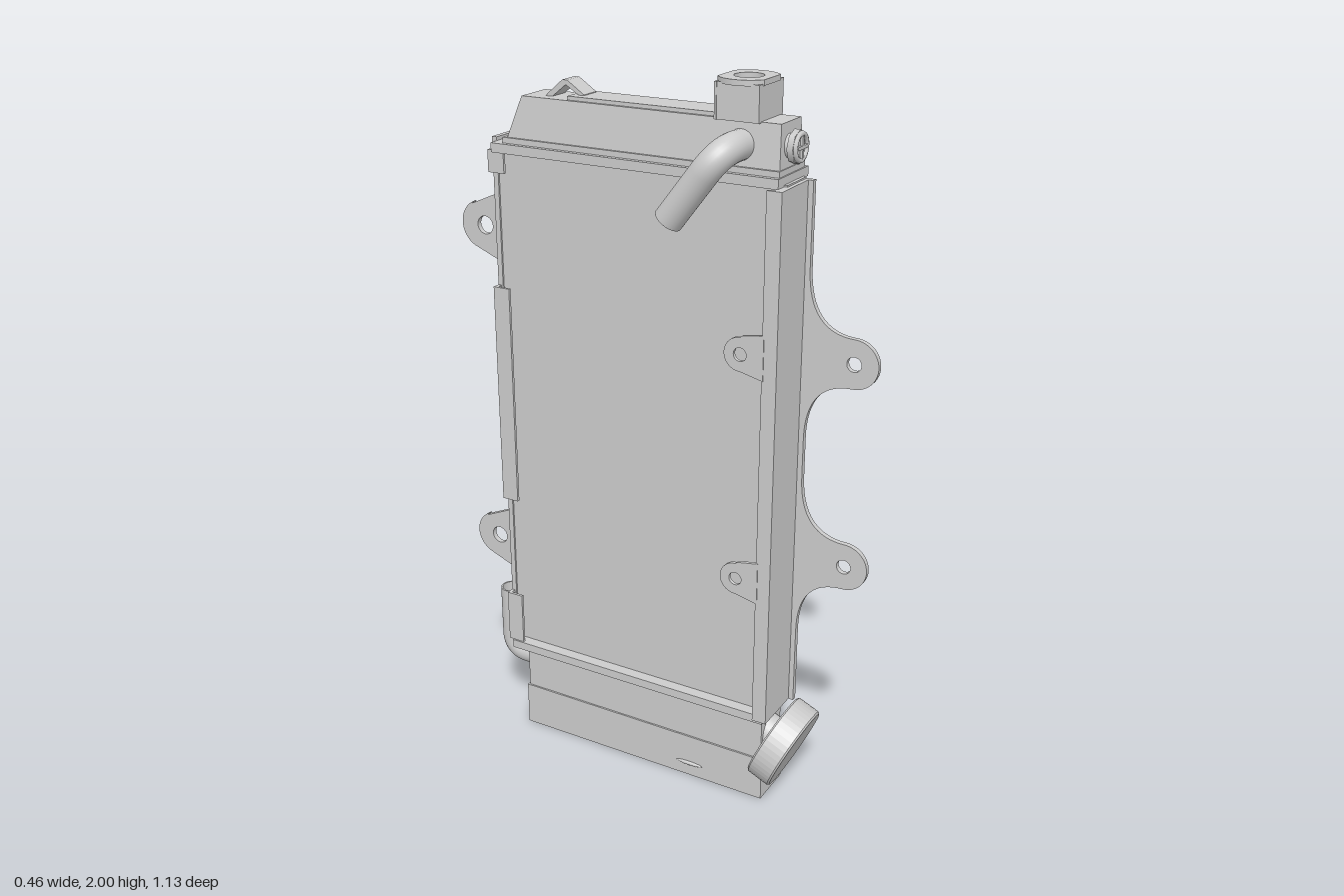
import * as THREE from 'three';

export function createModel() {
  const root = new THREE.Group();
  root.name = 'radiator';
  const mat = new THREE.MeshStandardMaterial({ color: 0xcccccc });
  const thin = new THREE.MeshStandardMaterial({ color: 0xcccccc, side: THREE.DoubleSide });

  function add(name, geo, m = mat) {
    const mesh = new THREE.Mesh(geo, m);
    mesh.name = name;
    root.add(mesh);
    return mesh;
  }
  // Box given by its limits on each axis
  function box(name, x0, x1, y0, y1, z0, z1) {
    const g = new THREE.BoxGeometry(x1 - x0, y1 - y0, z1 - z0);
    g.translate((x0 + x1) / 2, (y0 + y1) / 2, (z0 + z1) / 2);
    return add(name, g);
  }
  // Sheet drawn in (z, y), filling x0..x1
  function sheet(name, shape, x0, x1) {
    const g = new THREE.ExtrudeGeometry(shape, { depth: x1 - x0, bevelEnabled: false, curveSegments: 16 });
    g.rotateY(-Math.PI / 2).translate(x1, 0, 0);
    return add(name, g);
  }
  function hole(shape, x, y, r) {
    shape.holes.push(new THREE.Path().absarc(x, y, r, 0, Math.PI * 2, true));
  }
  // Open pipe of two straight runs with a rounded elbow
  function pipe(name, a, corner, b, r, bend) {
    const [A, C, B] = [a, corner, b].map(p => new THREE.Vector3(...p));
    const p = C.clone().add(A.clone().sub(C).setLength(bend));
    const q = C.clone().add(B.clone().sub(C).setLength(bend));
    const path = new THREE.CurvePath();
    path.add(new THREE.LineCurve3(A, p));
    path.add(new THREE.QuadraticBezierCurve3(p, C, q));
    path.add(new THREE.LineCurve3(q, B));
    add(name, new THREE.TubeGeometry(path, 40, r, 24), thin);
    add(name + 'Bore', new THREE.TubeGeometry(path, 40, r * 0.85, 24), thin);
    const rim = add(name + 'Rim', new THREE.RingGeometry(r * 0.85, r, 24), thin);
    rim.position.copy(B);
    rim.quaternion.setFromUnitVectors(new THREE.Vector3(0, 0, 1), B.clone().sub(q).normalize());
  }

  // Core and the flanges between core and tanks
  box('core', -0.065, 0.042, 0.27, 1.76, -0.47, 0.375);
  box('upperFlange', -0.098, 0.071, 1.755, 1.78, -0.465, 0.366);
  box('lowerFlange', -0.098, 0.062, 0.26, 0.285, -0.465, 0.366);

  // Lower tank with a seam, and drain bosses on both sides
  box('lowerTankTop', -0.075, 0.046, 0.13, 0.262, -0.425, 0.355);
  box('lowerTankBase', -0.08, 0.051, 0, 0.13, -0.43, 0.36);
  for (const x of [-0.08, 0.051]) {
    const boss = add('drainBoss', new THREE.SphereGeometry(1, 16, 10));
    boss.scale.set(0.006, 0.006, 0.042);
    boss.position.set(x, 0.04, 0.13);
  }

  // Upper tank, tapered towards the roof
  const tank = new THREE.BoxGeometry(1, 1, 1);
  const tp = tank.attributes.position;
  for (let i = 0; i < tp.count; i++) {
    const up = tp.getY(i) > 0;
    tp.setXYZ(i,
      tp.getX(i) > 0 ? (up ? 0.045 : 0.054) : (up ? -0.064 : -0.08),
      up ? 1.903 : 1.78,
      tp.getZ(i) > 0 ? (up ? 0.354 : 0.36) : (up ? -0.385 : -0.43));
  }
  tank.computeVertexNormals();
  add('upperTank', tank);
  box('upperTankRim', -0.085, 0.058, 1.778, 1.795, -0.436, 0.362);
  box('roofStrip', -0.056, 0.038, 1.9, 1.913, -0.25, 0.17);

  // Folded hose clip on the roof
  const clip = new THREE.Shape();
  [[-0.335, 1.9], [-0.325, 1.91], [-0.28, 1.948], [-0.265, 1.948], [-0.215, 1.915], [-0.215, 1.903], [-0.27, 1.936], [-0.315, 1.9]]
    .forEach(([z, y], i) => (i ? clip.lineTo(z, y) : clip.moveTo(z, y)));
  sheet('roofClip', clip, -0.032, 0.026);

  // Filler neck: end walls, one side wall, top plate with a round mouth
  box('fillerFrontWall', -0.076, 0.054, 1.9, 1.99, 0.294, 0.3);
  box('fillerBackWall', -0.076, 0.054, 1.9, 1.99, 0.18, 0.186);
  const side = add('fillerSideWall', new THREE.PlaneGeometry(0.12, 0.09));
  side.rotation.y = -Math.PI / 2;
  side.position.set(-0.074, 1.945, 0.24);
  const lip = new THREE.Shape();
  const cut = Math.asin(0.062 / 0.076);
  lip.absarc(0, 0, 0.076, -cut, cut, false);
  lip.absarc(0, 0, 0.076, Math.PI - cut, Math.PI + cut, false);
  hole(lip, 0, 0, 0.037);
  const plate = add('fillerLip', new THREE.ExtrudeGeometry(lip, { depth: 0.014, bevelEnabled: false, curveSegments: 24 }));
  plate.rotation.x = -Math.PI / 2;
  plate.position.set(-0.011, 1.986, 0.24);

  // Bolt with a crossed recess on the front of the upper tank
  const bolt = new THREE.Group();
  bolt.name = 'frontBolt';
  const parts = [
    new THREE.CylinderGeometry(0.03, 0.03, 0.04, 24).rotateX(Math.PI / 2),
    new THREE.CylinderGeometry(0.042, 0.042, 0.016, 8).rotateX(Math.PI / 2).translate(0, 0, 0.01),
    new THREE.TorusGeometry(0.032, 0.007, 8, 24).translate(0, 0, 0.02),
    new THREE.BoxGeometry(0.056, 0.008, 0.012).translate(0, 0, 0.021),
    new THREE.BoxGeometry(0.008, 0.056, 0.012).translate(0, 0, 0.021),
  ];
  parts.forEach(g => bolt.add(new THREE.Mesh(g, mat)));
  bolt.position.set(-0.022, 1.845, 0.366);
  root.add(bolt);

  // Front side channel with its lip
  box('frontChannel', -0.118, 0.042, 0.28, 1.756, 0.372, 0.386);
  box('frontChannelLip', -0.118, -0.11, 0.28, 1.756, 0.345, 0.38);
  box('frontChannelWeb', -0.11, -0.06, 0.28, 1.756, 0.362, 0.375);

  // Front mounting plate with two filleted ears
  const ears = [0.735, 1.305];
  const front = new THREE.Shape();
  front.moveTo(0.36, 0.28);
  front.lineTo(0.4, 0.28);
  for (const y of ears) {
    front.lineTo(0.4, y - 0.23);
    front.bezierCurveTo(0.4, y - 0.12, 0.445, y - 0.066, 0.53, y - 0.066);
    front.absarc(0.53, y, 0.066, -Math.PI / 2, Math.PI / 2, false);
    front.bezierCurveTo(0.445, y + 0.066, 0.4, y + 0.12, 0.4, y + 0.23);
  }
  front.lineTo(0.4, 1.756);
  front.lineTo(0.36, 1.756);
  ears.forEach(y => hole(front, 0.53, y, 0.02));
  sheet('frontMount', front, 0.029, 0.044);

  // Small rounded tabs on the channel lip
  for (const y of [0.705, 1.335]) {
    const tab = new THREE.Shape();
    tab.moveTo(0.35, y - 0.06);
    tab.lineTo(0.35, y + 0.06);
    tab.lineTo(0.29, y + 0.05);
    tab.absarc(0.285, y, 0.045, Math.PI / 2, Math.PI * 1.5, false);
    hole(tab, 0.285, y, 0.018);
    sheet('lipTab', tab, -0.12, -0.11);
  }

  // Back side channel, its interrupted lip, and mounting ears
  box('backChannel', -0.07, 0.046, 0.28, 1.79, -0.48, -0.465);
  box('backChannelEdge', 0.04, 0.05, 0.28, 1.76, -0.48, -0.462);
  for (const [y0, y1] of [[0.285, 0.44], [0.75, 1.385], [1.7, 1.76]]) {
    box('backLip', -0.093, -0.085, y0, y1, -0.48, -0.43);
    box('backLipWeb', -0.09, -0.06, y0, y1, -0.48, -0.47);
  }
  for (const y of [0.6, 1.54]) {
    const ear = new THREE.Shape();
    ear.moveTo(-0.47, y - 0.1);
    ear.lineTo(-0.47, y + 0.1);
    ear.lineTo(-0.57, y + 0.056);
    ear.absarc(-0.538, y, 0.068, Math.PI * 0.64, Math.PI * 1.36, false);
    hole(ear, -0.53, y, 0.025);
    sheet('backMount', ear, -0.05, -0.035);
  }

  // Hose pipes
  pipe('upperPipe', [-0.05, 1.845, 0.25], [-0.165, 1.845, 0.245], [-0.168, 1.665, 0.108], 0.038, 0.07);
  pipe('lowerPipe', [-0.004, 0.195, -0.42], [-0.004, 0.195, -0.528], [-0.004, 0.405, -0.528], 0.034, 0.055);

  // Tilted round cap at the lower front, with its neck
  const cap = new THREE.Group();
  cap.name = 'lowerCap';
  const disc = [[0, 0.037], [0.12, 0.037], [0.125, 0.032], [0.125, -0.032], [0.12, -0.037], [0, -0.037]]
    .map(([r, y]) => new THREE.Vector2(r, y)).reverse();
  const capDisc = new THREE.Mesh(new THREE.LatheGeometry(disc, 48).toNonIndexed(), mat);
  capDisc.geometry.computeVertexNormals();
  const neck = new THREE.Mesh(new THREE.CylinderGeometry(0.05, 0.05, 0.1, 24), mat);
  neck.position.y = -0.06;
  cap.add(capDisc, neck);
  cap.rotation.x = Math.PI / 2 + 0.42;
  cap.position.set(-0.016, 0.168, 0.397);
  root.add(cap);

  // The whole unit stands turned about the vertical
  root.rotation.y = 0.297;
  const model = new THREE.Group();
  model.name = 'model';
  model.add(root);
  return model;
}
